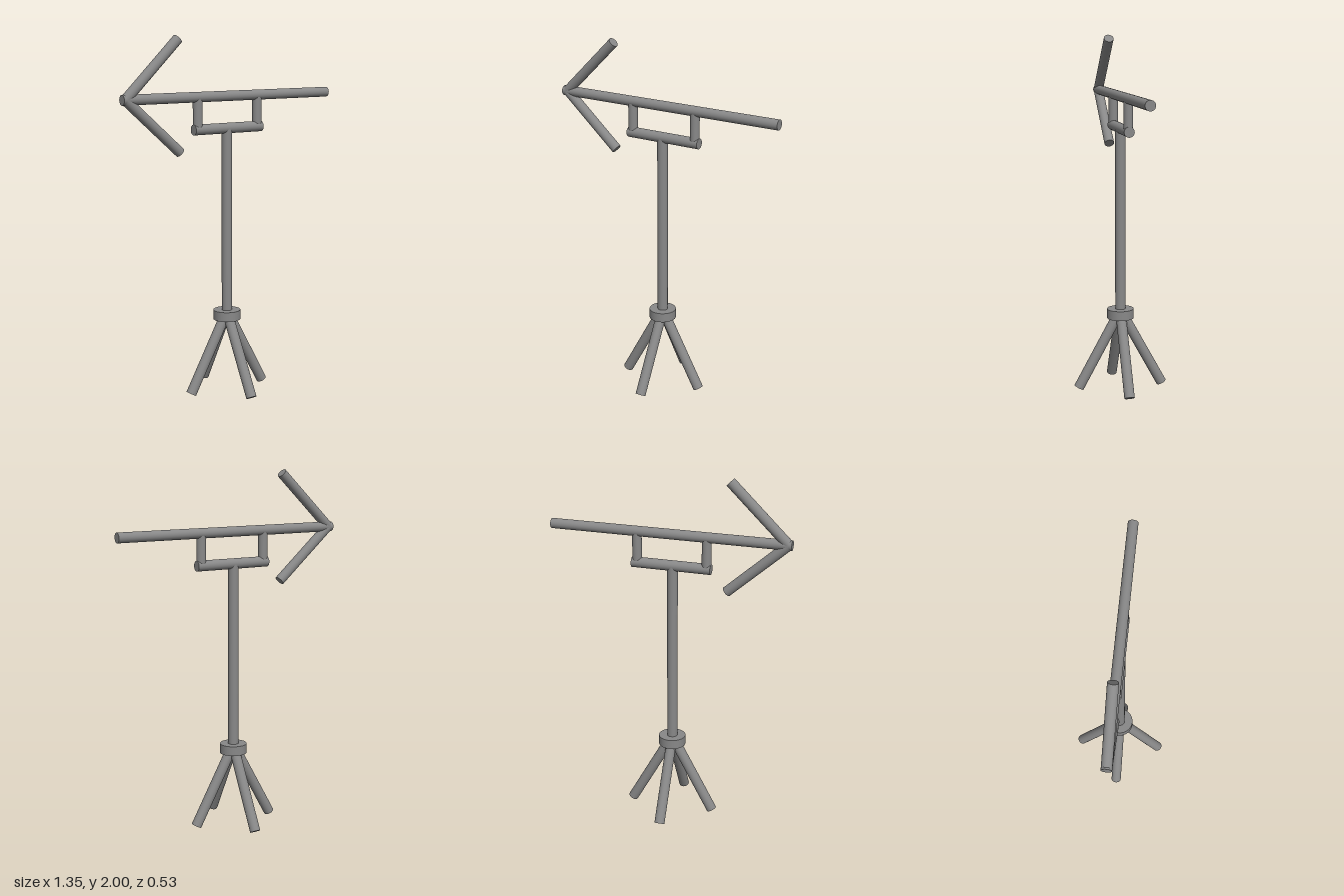
import * as THREE from 'three';

export function createModel() {
  const group = new THREE.Group();
  const metal = new THREE.MeshStandardMaterial({ color: 0x888888 });
  metal.name = 'grey metal';
  const up = new THREE.Vector3(0, 1, 0);
  const cx = -0.024; // axis of the pole and legs

  // Straight round rod between two points
  function rod(name, a, b, radius = 0.028) {
    const start = new THREE.Vector3(...a);
    const end = new THREE.Vector3(...b);
    const dir = end.clone().sub(start);
    const mesh = new THREE.Mesh(
      new THREE.CylinderGeometry(radius, radius, dir.length(), 32), metal);
    mesh.name = name;
    mesh.position.copy(start).add(end).multiplyScalar(0.5);
    mesh.quaternion.setFromUnitVectors(up, dir.normalize());
    group.add(mesh);
  }

  // Four splayed legs meeting inside the collar
  const legs = [['rightLeg', -1, 0], ['leftLeg', 1, 0], ['frontLeg', 0, 1], ['backLeg', 0, -1]];
  for (const [name, dx, dz] of legs) {
    rod(name, [cx + dx * 0.242, 0.014, dz * 0.242], [cx + dx * 0.012, 0.434, dz * 0.012], 0.029);
  }
  rod('collar', [cx, 0.412, 0], [cx, 0.466, 0], 0.076);
  rod('pole', [cx, 0.43, 0], [cx, 1.492, 0], 0.029);

  // Bracket holding the arrow
  rod('bracketBar', [-0.24, 1.493, 0], [0.206, 1.493, 0], 0.029);
  for (const [name, x] of [['rightPost', -0.214], ['leftPost', 0.178]]) {
    rod(name, [x, 1.493, 0], [x, 1.668, 0], 0.026);
  }

  // Arrow pointing to the model's right
  rod('arrowShaft', [-0.675, 1.669, 0], [0.673, 1.669, 0]);
  rod('arrowUpperBarb', [-0.655, 1.669, 0], [-0.336, 1.979, 0]);
  rod('arrowLowerBarb', [-0.655, 1.669, 0], [-0.327, 1.377, 0]);

  return group;
}
